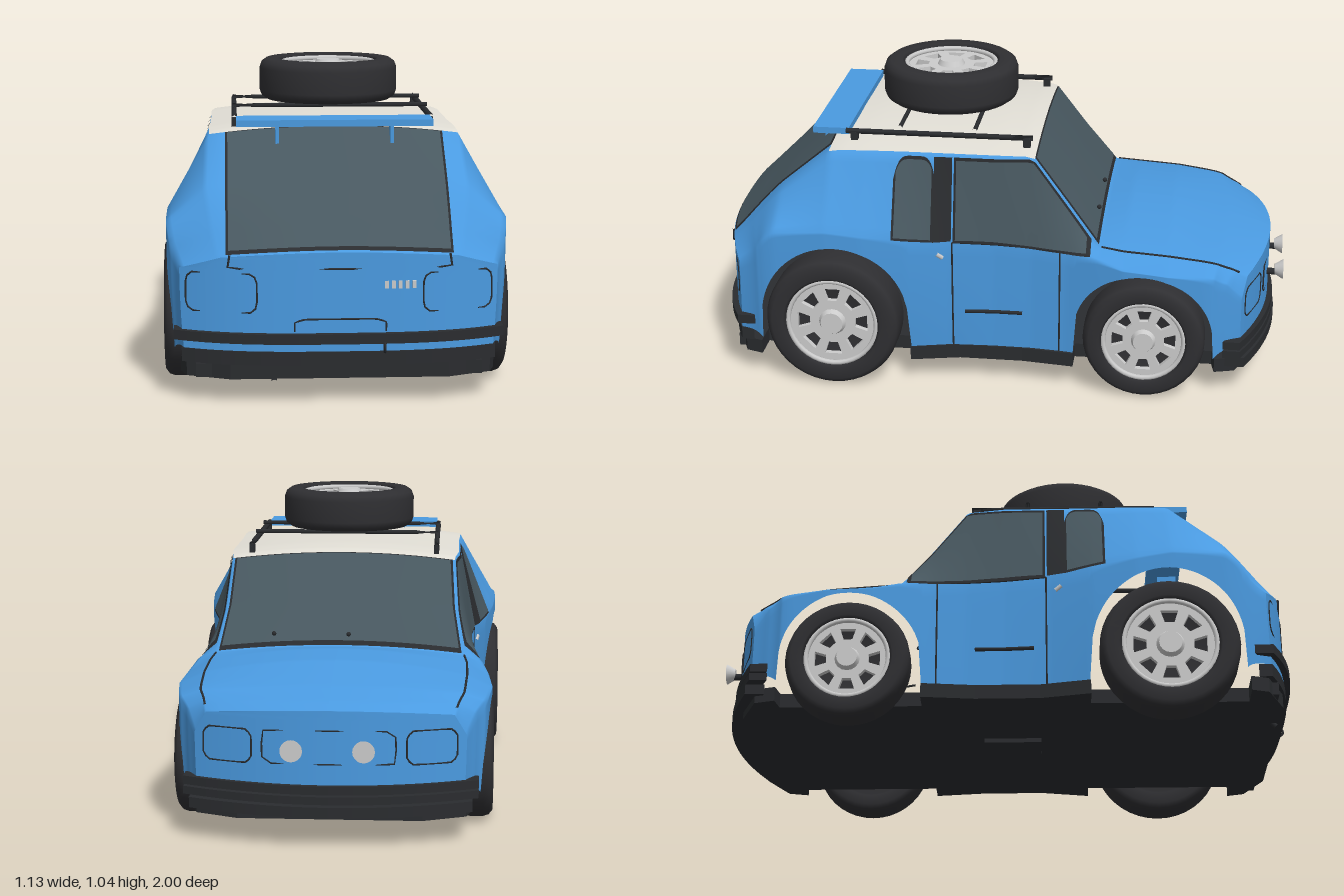
import * as THREE from 'three';

const mat = (color, side = THREE.FrontSide) => new THREE.MeshStandardMaterial({ color, side });
const BLUE = mat(0x4a9ae0), DARK = mat(0x2a2c2f), GLASS = mat(0x485860), WHITE = mat(0xe2dfd6);
const TYRE = mat(0x2f2f32, THREE.DoubleSide), GREY = mat(0xcccccc);
const NOSE = -0.95, TAIL = 0.97;
const { lerp, smoothstep } = THREE.MathUtils;

// Body stations: z, sill width, shoulder width, shoulder y, roof edge width, roof edge y, centre y
const STATIONS = [
  [-0.95, .43, .44, .36, .40, .43, .455], [-0.90, .46, .47, .42, .41, .455, .475],
  [-0.80, .49, .50, .45, .43, .48, .505], [-0.60, .515, .525, .465, .44, .505, .55],
  [-0.45, .505, .515, .475, .44, .515, .56], [-0.36, .485, .495, .50, .43, .525, .55],
  [-0.25, .465, .468, .51, .405, .665, .695], [-0.13, .452, .455, .52, .395, .825, .85],
  [0, .45, .455, .53, .41, .83, .86], [0.15, .455, .47, .53, .41, .83, .862],
  [0.30, .49, .515, .545, .41, .83, .862], [0.45, .525, .545, .565, .415, .83, .86],
  [0.57, .54, .555, .58, .415, .825, .852], [0.75, .54, .555, .57, .42, .68, .695],
  [0.88, .52, .54, .50, .40, .565, .582], [0.97, .49, .51, .44, .38, .48, .50],
];
function station(z) {
  let i = 0;
  while (i < STATIONS.length - 2 && z > STATIONS[i + 1][0]) i++;
  const a = STATIONS[i], b = STATIONS[i + 1], t = (z - a[0]) / (b[0] - a[0]);
  const [, wb, ws, ys, wr, yr, yt] = a.map((v, k) => lerp(v, b[k], t));
  return { wb, ws, ys, wr, yr, yt };
}
// Nose and tail bow backwards towards the corners
const warp = (x, z) => z > 0
  ? z - 0.08 * Math.abs(x / 0.5) ** 3 * smoothstep(z, 0.75, TAIL)
  : z + 0.1 * (x / 0.45) ** 2 * smoothstep(-z, 0.7, -NOSE);
// Lower edge of the side, rising over the wheel arches
function bottomY(z) {
  const zw = warp(station(z).ws, z);
  let y = 0.12 + 0.06 * smoothstep(Math.abs(z), 0.7, 0.95);
  for (const [c, cy, a, b] of [[0.55, 0.245, 0.255, 0.275], [-0.52, 0.22, 0.24, 0.235]]) {
    const d = (zw - c) / a;
    if (Math.abs(d) < 1) y = cy + b * Math.sqrt(1 - d * d);
  }
  return y;
}
function sideX(z, y) {
  const s = station(z);
  if (y < s.ys) return s.ws - (s.ws - s.wb) * ((s.ys - y) / (s.ys - 0.1)) ** 2;
  return lerp(s.ws, s.wr, Math.min(1, (y - s.ys) / (s.yr - s.ys)));
}
function topY(z, x) {
  const s = station(z);
  return lerp(s.yt, s.yr, Math.min(1, (x / s.wr) ** 2));
}
// t: 0-1 lower side, 1-2 upper side, 2-3 roof edge to centre
function section(z, t) {
  const s = station(z);
  if (t > 2) { const x = s.wr * (3 - t); return [x, topY(z, x)]; }
  const y = t < 1 ? lerp(bottomY(z), s.ys, t) : lerp(s.ys, s.yr, t - 1);
  return [sideX(z, y), y];
}

export function createModel() {
  const car = new THREE.Group();
  const add = (name, geo, m, x = 0, y = 0, z = 0, parent = car) => {
    const mesh = new THREE.Mesh(geo, m);
    mesh.name = name; mesh.position.set(x, y, z); parent.add(mesh);
    return mesh;
  };
  const box = (name, m, w, h, d, x, y, z) => add(name, new THREE.BoxGeometry(w, h, d), m, x, y, z);

  // Curved sheet from a grid of points; its front is du x dv
  function sheet(name, m, nu, nv, fn) {
    const pos = [], idx = [];
    for (let j = 0; j <= nv; j++) for (let i = 0; i <= nu; i++) pos.push(...fn(i / nu, j / nv));
    for (let j = 0; j < nv; j++) for (let i = 0; i < nu; i++) {
      const a = j * (nu + 1) + i, b = a + 1, c = a + nu + 1, d = c + 1;
      idx.push(a, b, d, a, d, c);
    }
    const g = new THREE.BufferGeometry();
    g.setAttribute('position', new THREE.Float32BufferAttribute(pos, 3));
    g.setIndex(idx); g.computeVertexNormals();
    return add(name, g, m);
  }
  function sheetPair(name, m, nu, nv, fn) {
    sheet(name + 'Left', m, nu, nv, fn);
    sheet(name + 'Right', m, nu, nv, (u, v) => { const [x, y, z] = fn(1 - u, v); return [-x, y, z]; });
  }
  // Patches lying on the side and top of the body
  const sidePatch = (name, m, z0, z1, lo, hi, off) => sheetPair(name, m, 24, 8, (u, v) => {
    const z = lerp(z1, z0, u), y = lerp(lo(z), hi(z), v);
    return [sideX(z, y) + off, y, z];
  });
  const topPatch = (name, m, z0, z1, width, off) => sheet(name, m, 24, 24, (u, v) => {
    const z = lerp(z1, z0, v), x = lerp(-1, 1, u) * width(z);
    return [x, topY(z, x) + off, warp(x, z)];
  });
  function tube(name, pts, r, m = DARK, closed = false) {
    const c = new THREE.CatmullRomCurve3(pts.map(p => new THREE.Vector3(...p)), closed, 'catmullrom', 0.1);
    return add(name, new THREE.TubeGeometry(c, pts.length * 4, r, 6, closed), m);
  }
  const steps = (n, fn) => Array.from({ length: n + 1 }, (_, i) => fn(i / n));

  // Body shell with its end panels
  sheetPair('bodySide', BLUE, 160, 24, (u, v) => {
    const z = lerp(TAIL, NOSE, u), [x, y] = section(z, 3 * v);
    return [x, y, warp(x, z)];
  });
  for (const [name, end, s] of [['tailPanel', TAIL, 1], ['nosePanel', NOSE, -1]])
    sheet(name, BLUE, 20, 24, (u, v) => {
      const [w, y] = section(end, 3 * v), x = lerp(-w, w, u) * s;
      return [x, y, warp(x, end)];
    });

  // Roof skin, windscreen and hatch glass
  topPatch('roofPanel', WHITE, -0.135, 0.575, z => station(z).wr, 0.004);
  topPatch('windscreenSeal', DARK, -0.36, -0.135, z => station(z).wr - 0.008, 0.004);
  topPatch('windscreen', GLASS, -0.352, -0.14, z => station(z).wr - 0.016, 0.009);
  topPatch('hatchSeal', DARK, 0.575, 0.967, () => 0.362, 0.004);
  topPatch('hatchGlass', GLASS, 0.582, 0.96, () => 0.354, 0.009);

  // Side windows and door pillar
  const roofLine = d => z => Math.min(0.822, station(z).yr - 0.004) - d;
  sidePatch('doorWindowSeal', DARK, -0.335, 0.14, z => 0.508 + 0.02 * smoothstep(z, -0.3, 0.1), roofLine(0), 0.003);
  sidePatch('doorWindow', GLASS, -0.32, 0.132, z => 0.518 + 0.02 * smoothstep(z, -0.3, 0.1), roofLine(0.01), 0.006);
  sidePatch('pillar', DARK, 0.146, 0.208, () => 0.535, () => 0.822, 0.004);
  const rounded = d => z => 0.822 - d - 0.07 * Math.abs((z - 0.275) / 0.07) ** 5;
  sidePatch('quarterWindowSeal', DARK, 0.208, 0.346, z => 0.535 + (z - 0.208) * 0.12, rounded(0), 0.003);
  sidePatch('quarterWindow', GLASS, 0.215, 0.338, z => 0.544 + (z - 0.208) * 0.12, rounded(0.01), 0.006);

  for (const s of [1, -1]) {
    // Panel gaps, trim strip and door handle
    const seam = (name, a, b, r = 0.003) => tube(name, steps(12, t => {
      const z = lerp(a[0], b[0], t), y = lerp(a[1], b[1], t);
      return [s * sideX(z, y), y, z];
    }), r);
    seam('doorFrontGap', [-0.23, 0.13], [-0.23, 0.51]);
    seam('doorRearGap', [0.143, 0.13], [0.143, 0.53]);
    seam('beltLine', [-0.33, 0.51], [0.143, 0.53]);
    seam('doorTrim', [-0.1, 0.268], [0.1, 0.268], 0.007);
    seam('doorHandle', [0.175, 0.475], [0.195, 0.49], 0.008).material = GREY;
    tube('bonnetGap', steps(14, t => {
      const z = lerp(-0.37, -0.92, t), [x, y] = section(z, 2);
      return [s * x, y, warp(x, z)];
    }), 0.004);
    // Lamp surrounds on tail and nose
    for (const [name, end, x0, x1, y0, y1] of [['tailLampSurround', TAIL, 0.265, 0.49, 0.305, 0.43], ['headlampSurround', NOSE, 0.25, 0.41, 0.275, 0.385]]) {
      const c = 0.02, pts = [[x0 + c, y0], [x1 - c, y0], [x1, y0 + c], [x1, y1 - c], [x1 - c, y1], [x0 + c, y1], [x0, y1 - c], [x0, y0 + c]];
      tube(name, pts.map(([x, y]) => [s * x, y, warp(x, end)]), 0.003, DARK, true);
    }
    // Fog lamps
    const stem = add('fogLampStem', new THREE.CylinderGeometry(0.012, 0.012, 0.05, 10), DARK, s * 0.115, 0.325, -0.955);
    stem.rotation.x = Math.PI / 2;
    const lamp = add('fogLamp', new THREE.CylinderGeometry(0.018, 0.036, 0.03, 20), GREY, s * 0.115, 0.335, -0.985);
    lamp.rotation.x = Math.PI / 2;
    add('washerNozzle', new THREE.SphereGeometry(0.008, 8, 6), DARK, s * 0.13 + 0.1, 0.59, -0.345);
    // Roof rails with feet, spoiler brackets, rear mud brackets
    tube('roofRail', [[s * 0.33, 0.872, -0.12], [s * 0.33, 0.872, 0.53]], 0.01);
    for (const z of [-0.1, 0.5]) box('railFoot', DARK, 0.018, 0.03, 0.025, s * 0.33, 0.855, z);
    box('spoilerBracket', BLUE, 0.012, 0.08, 0.07, s * 0.19, 0.825, 0.6);
    box('rearBracket', DARK, 0.07, 0.045, 0.03, s * 0.425, 0.11, 0.9);
  }
  for (const z of [0.08, 0.34]) tube('rackCrossbar', [[-0.335, 0.893, z], [0.335, 0.893, z]], 0.008);
  box('spoiler', BLUE, 0.65, 0.022, 0.125, 0, 0.868, 0.585);

  // Details on the tail and nose
  tube('hatchLowerGap', [[-0.35, 0.49, 0.945], [-0.352, 0.447, 0.944], [0, 0.447, TAIL], [0.352, 0.447, 0.944], [0.35, 0.49, 0.945]], 0.004);
  tube('plateRecess', [[-0.145, 0.245, TAIL], [-0.145, 0.275, TAIL], [-0.11, 0.285, TAIL], [0.11, 0.285, TAIL], [0.145, 0.275, TAIL], [0.145, 0.245, TAIL]], 0.003);
  for (let i = 0; i < 5; i++) box('tailVentBar', GREY, 0.012, 0.024, 0.01, 0.146 + i * 0.022, 0.395, 0.968);
  tube('grilleSurround', [[-0.21, 0.28, -0.93], [0, 0.28, NOSE], [0.21, 0.28, -0.93], [0.21, 0.385, -0.93], [0, 0.39, NOSE], [-0.21, 0.385, -0.93]], 0.003, DARK, true);
  tube('exhaust', [[-0.21, 0.11, 0.8], [-0.21, 0.105, 0.9], [-0.21, 0.075, 0.93]], 0.009);
  const ring = add('towRing', new THREE.TorusGeometry(0.016, 0.004, 6, 16), DARK, 0.14, 0.195, 0.982);
  ring.rotation.y = Math.PI / 2;

  // Horizontal plates cut from a plan outline of [x, z]
  const plate = (name, pts, y0, y1) => {
    const g = new THREE.ExtrudeGeometry(new THREE.Shape(pts.map(p => new THREE.Vector2(...p))), { depth: y1 - y0, bevelEnabled: false });
    add(name, g.rotateX(Math.PI / 2), DARK, 0, y1, 0);
  };
  for (const [name, end, hw, y0, y1, out] of [
    ['rearBumper', TAIL, 0.53, 0.208, 0.24, 0.022], ['rearLowerBumper', TAIL, 0.505, 0.135, 0.18, 0.004],
    ['frontBumperTop', NOSE, 0.48, 0.184, 0.212, 0.018], ['frontBumperBottom', NOSE, 0.48, 0.152, 0.178, 0.02],
    ['frontLip', NOSE, 0.46, 0.11, 0.145, 0.025]]) {
    const edge = o => steps(24, t => { const x = lerp(-hw, hw, t); return [x, warp(x, end) + o * Math.sign(end)]; });
    plate(name, [...edge(out), ...edge(-0.04).reverse()], y0, y1);
  }
  const half = [[0.30, -0.9], [0.44, -0.84], [0.46, -0.77], [0.40, -0.76], [0.40, -0.28], [0.48, -0.28], [0.458, -0.1],
    [0.458, 0.12], [0.495, 0.29], [0.41, 0.29], [0.41, 0.82], [0.51, 0.82], [0.49, 0.88], [0.35, 0.94]];
  plate('floorPan', [...half, ...half.map(([x, z]) => [-x, z]).reverse()], 0.085, 0.135);
  box('floorHatch', DARK, 0.2, 0.02, 0.2, 0, 0.08, 0.02);

  // Wheels, built with the outer face up
  function wheel(name, R, w) {
    const g = new THREE.Group(), h = w / 2, r = 0.69 * R;
    g.name = name;
    const prof = [[0.01, -h + 0.01], [r, -h + 0.01], [0.73 * R, -h], [0.9 * R, -h], [0.97 * R, -h + 0.012], [R, -h + 0.032],
      [R, h - 0.032], [0.97 * R, h - 0.012], [0.9 * R, h], [0.73 * R, h], [r, h - 0.008], [r, h - 0.05], [0.01, h - 0.05]];
    add('tyre', new THREE.LatheGeometry(prof.map(p => new THREE.Vector2(...p)), 40), TYRE, 0, 0, 0, g);
    const disc = new THREE.Shape().absarc(0, 0, r, 0, Math.PI * 2);
    for (let i = 0; i < 8; i++) {
      const a = i * Math.PI / 4, p = (rad, d) => new THREE.Vector2(rad * Math.cos(a + d), rad * Math.sin(a + d));
      disc.holes.push(new THREE.Path([p(r * 0.5, -0.2), p(r * 0.78, -0.24), p(r * 0.78, 0.24), p(r * 0.5, 0.2)]));
    }
    const face = new THREE.ExtrudeGeometry(disc, { depth: 0.02, bevelEnabled: false, curveSegments: 32 });
    add('rimFace', face.rotateX(-Math.PI / 2), GREY, 0, h - 0.042, 0, g);
    add('rimLip', new THREE.TorusGeometry(r * 0.96, 0.009, 8, 40).rotateX(Math.PI / 2), GREY, 0, h - 0.016, 0, g);
    add('hub', new THREE.CylinderGeometry(r * 0.24, r * 0.3, 0.02, 16), GREY, 0, h - 0.014, 0, g);
    car.add(g);
    return g;
  }
  for (const s of [1, -1]) {
    const rear = wheel('rearWheel', 0.235, 0.145), front = wheel('frontWheel', 0.21, 0.13);
    rear.position.set(s * 0.4925, 0.24, 0.555);
    front.position.set(s * 0.465, 0.215, -0.525);
    rear.rotation.z = front.rotation.z = -s * Math.PI / 2;
  }
  wheel('spareWheel', 0.24, 0.14).position.set(0, 0.974, 0.21);
  return car;
}
